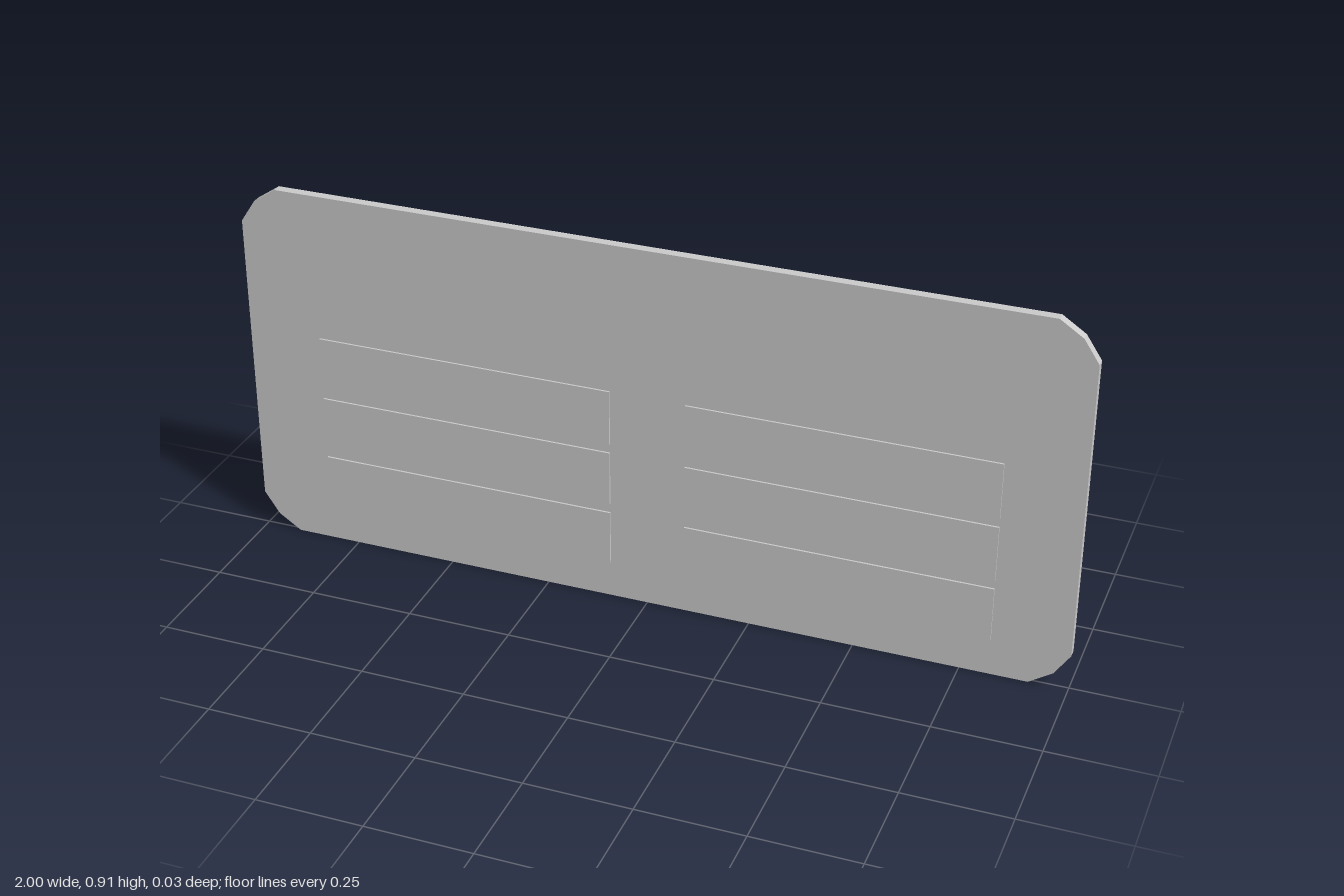
import * as THREE from 'three';

export function createModel() {
  const group = new THREE.Group();
  const material = new THREE.MeshStandardMaterial({ color: 0xcccccc, flatShading: true });

  const u = 1 / 11; // layout module: the board is 22 x 10 modules
  const height = 10 * u, depth = 0.25 * u, relief = 0.05 * u;
  const back = -(depth + relief) / 2, face = back + depth;

  // Board with two-facet corners
  const cut = u, mid = 0.4 * u;
  const corner = [[1, height - cut], [1 - mid, height - mid], [1 - cut, height]];
  const mirrorX = pts => pts.map(([x, y]) => [-x, y]).reverse();
  const top = [...corner, ...mirrorX(corner)];
  const bottom = top.map(([x, y]) => [-x, height - y]);
  const outline = new THREE.Shape([...top, ...bottom].map(p => new THREE.Vector2(...p)));
  const board = new THREE.Mesh(
    new THREE.ExtrudeGeometry(outline, { depth, bevelEnabled: false }), material);
  board.name = 'board';
  board.position.z = back;
  group.add(board);

  // Raised strips: two columns of three on the front face
  const strips = new THREE.Group();
  strips.name = 'strips';
  const sunk = relief; // embedded in the board so the backs never show
  const stripGeometry = new THREE.BoxGeometry(8 * u, 1.5 * u, relief + sunk);
  for (const side of [-1, 1]) {
    for (let row = 0; row < 3; row++) {
      const strip = new THREE.Mesh(stripGeometry, material);
      strip.name = `strip${side < 0 ? 'Right' : 'Left'}${row + 1}`;
      strip.position.set(side * 5 * u, (1.75 + 1.75 * row) * u, face + (relief - sunk) / 2);
      strips.add(strip);
    }
  }
  group.add(strips);

  return group;
}
